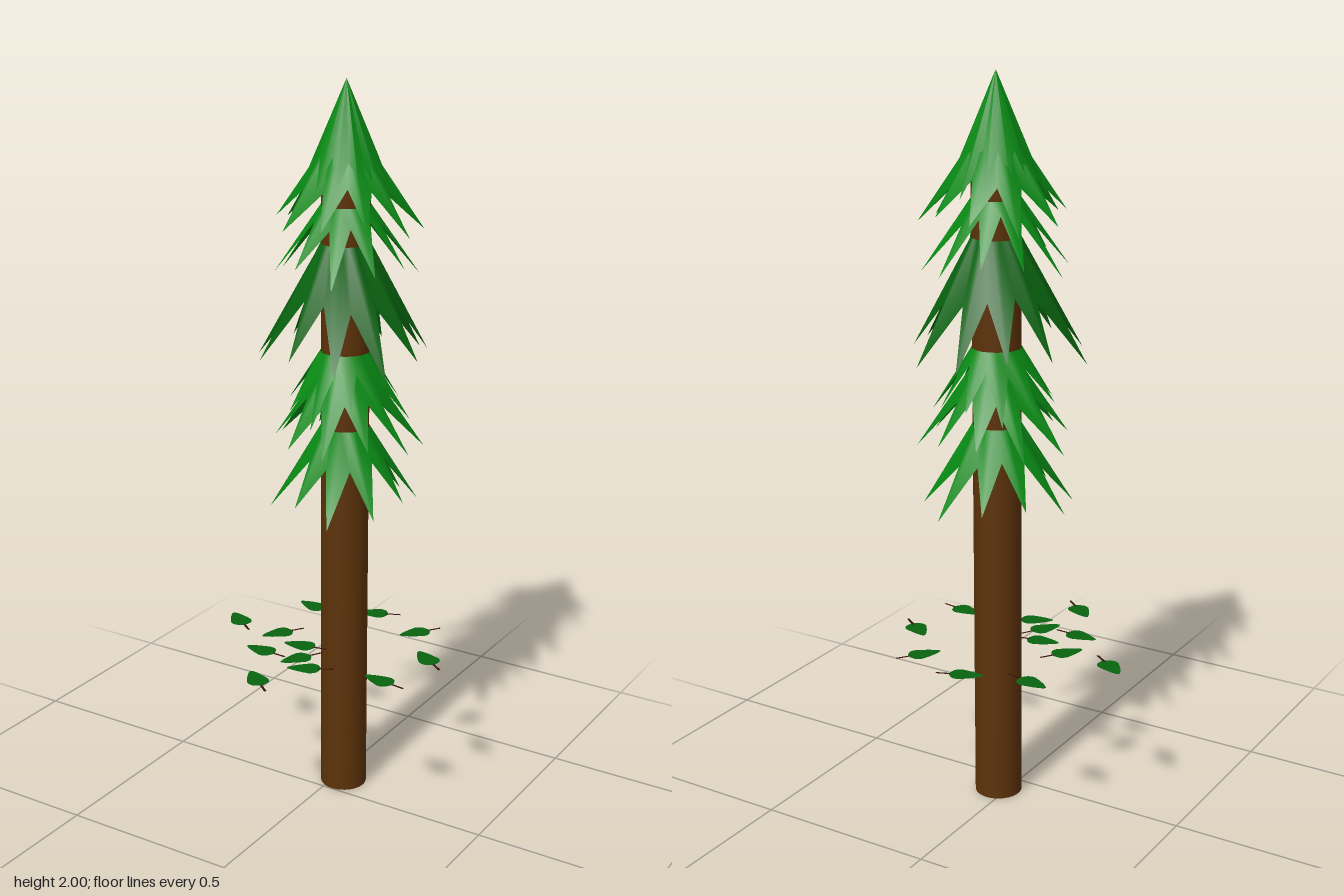
import * as THREE from 'three';

const mat = (color) => new THREE.MeshStandardMaterial({ color, side: THREE.DoubleSide });
const AXIS = [0.027, -0.067]; // x, z of the trunk

function add(parent, name, geometry, material) {
  const mesh = new THREE.Mesh(geometry, material);
  mesh.name = name;
  parent.add(mesh);
  return mesh;
}

// Open skirt: a top ring that falls to a zigzag hem of notches and long spikes
function skirt({ top, r0, notch, rNotch, tip, rTip, turn, seed, points = 10 }) {
  const n = points * 2, pos = [], index = [];
  for (let row = 0; row < 2; row++) {
    for (let i = 0; i < n; i++) {
      const spike = i % 2 === 1;
      const vary = Math.sin(i * 2.3 + seed * 1.7);
      const a = (i / n) * Math.PI * 2 + turn + (row && spike ? 0.07 * Math.sin(i * 3.1 + seed) : 0);
      const r = row === 0 ? r0 : spike ? rTip * (1 + 0.07 * vary) : rNotch;
      const y = row === 0 ? top : spike ? tip - 0.02 * vary : notch + 0.012 * vary;
      pos.push(Math.sin(a) * r, y, Math.cos(a) * r);
    }
  }
  for (let i = 0; i < n; i++) {
    const j = (i + 1) % n;
    index.push(i, n + i, n + j, i, n + j, j);
  }
  const g = new THREE.BufferGeometry();
  g.setAttribute('position', new THREE.Float32BufferAttribute(pos, 3));
  g.setIndex(index);
  g.computeVertexNormals();
  return g;
}

// Flat leaf outline with its tip at the origin, running along +x
function leafGeometry() {
  const s = new THREE.Shape();
  s.moveTo(0, -0.003);
  s.quadraticCurveTo(0.016, -0.017, 0.06, -0.03);
  s.quadraticCurveTo(0.074, -0.031, 0.083, -0.022);
  s.lineTo(0.091, -0.007);
  s.lineTo(0.091, 0.007);
  s.lineTo(0.083, 0.022);
  s.quadraticCurveTo(0.074, 0.031, 0.06, 0.03);
  s.quadraticCurveTo(0.016, 0.017, 0, 0.003);
  return new THREE.ShapeGeometry(s, 6).rotateX(-Math.PI / 2);
}

export function createModel() {
  const model = new THREE.Group();
  model.name = 'pineTree';
  const bark = mat(0x5c3208), bright = mat(0x088a14), dark = mat(0x08640f);
  const stemMat = mat(0x35120a);

  // Trunk and foliage share one axis
  const tree = new THREE.Group();
  tree.name = 'tree';
  tree.position.set(AXIS[0], 0, AXIS[1]);
  model.add(tree);
  add(tree, 'trunk', new THREE.CylinderGeometry(0.065, 0.065, 1.78, 32).translate(0, 0.89, 0), bark);

  // Foliage skirts from the pointed crown downwards
  const layers = [
    { top: 2.0, r0: 0.0005, notch: 1.8, rNotch: 0.08, tip: 1.71, rTip: 0.125, turn: 0.1, points: 12 },
    { top: 1.82, r0: 0.066, notch: 1.725, rNotch: 0.105, tip: 1.63, rTip: 0.195, turn: -0.05 },
    { top: 1.68, r0: 0.066, notch: 1.635, rNotch: 0.09, tip: 1.51, rTip: 0.185, turn: 0.05 },
    { top: 1.58, r0: 0.066, notch: 1.43, rNotch: 0.125, tip: 1.28, rTip: 0.23, turn: 0.08, points: 11, deep: true },
    { top: 1.29, r0: 0.067, notch: 1.24, rNotch: 0.09, tip: 1.13, rTip: 0.165, turn: 0.25 },
    { top: 1.24, r0: 0.066, notch: 1.155, rNotch: 0.105, tip: 1.04, rTip: 0.2, turn: -0.1 },
    { top: 1.08, r0: 0.066, notch: 0.99, rNotch: 0.105, tip: 0.87, rTip: 0.195, turn: 0.04 },
  ];
  layers.forEach((layer, i) =>
    add(tree, i ? 'foliageSkirt' : 'crown', skirt({ ...layer, seed: i + 1 }), layer.deep ? dark : bright));

  // Loose leaves hovering in one level plane: tip x, tip z, heading x, heading z
  const leaves = [
    [-0.089, 0.23, 54, 43], [-0.346, -0.061, 57, 41], [-0.222, -0.235, 67, 13],
    [-0.043, -0.256, 62, -25], [0.143, -0.181, 40, -55], [0.239, -0.118, 57, 40],
    [0.187, 0.087, 68, 9], [-0.187, 0.102, 69, 3], [-0.017, 0.16, 60, -30],
    [-0.05, 0.142, 34, -58], [-0.186, 0.028, 38, -56], [-0.11, 0.03, 66, -12],
  ];
  const blade = leafGeometry();
  const stem = new THREE.PlaneGeometry(0.044, 0.007).rotateX(-Math.PI / 2).translate(0.106, 0, 0);
  for (const [x, z, dx, dz] of leaves) {
    const leaf = new THREE.Group();
    leaf.name = 'looseLeaf';
    leaf.position.set(x, 0.44, z);
    leaf.rotation.y = Math.atan2(-dz, dx);
    add(leaf, 'leafBlade', blade, dark);
    add(leaf, 'leafStem', stem, stemMat);
    model.add(leaf);
  }
  return model;
}
